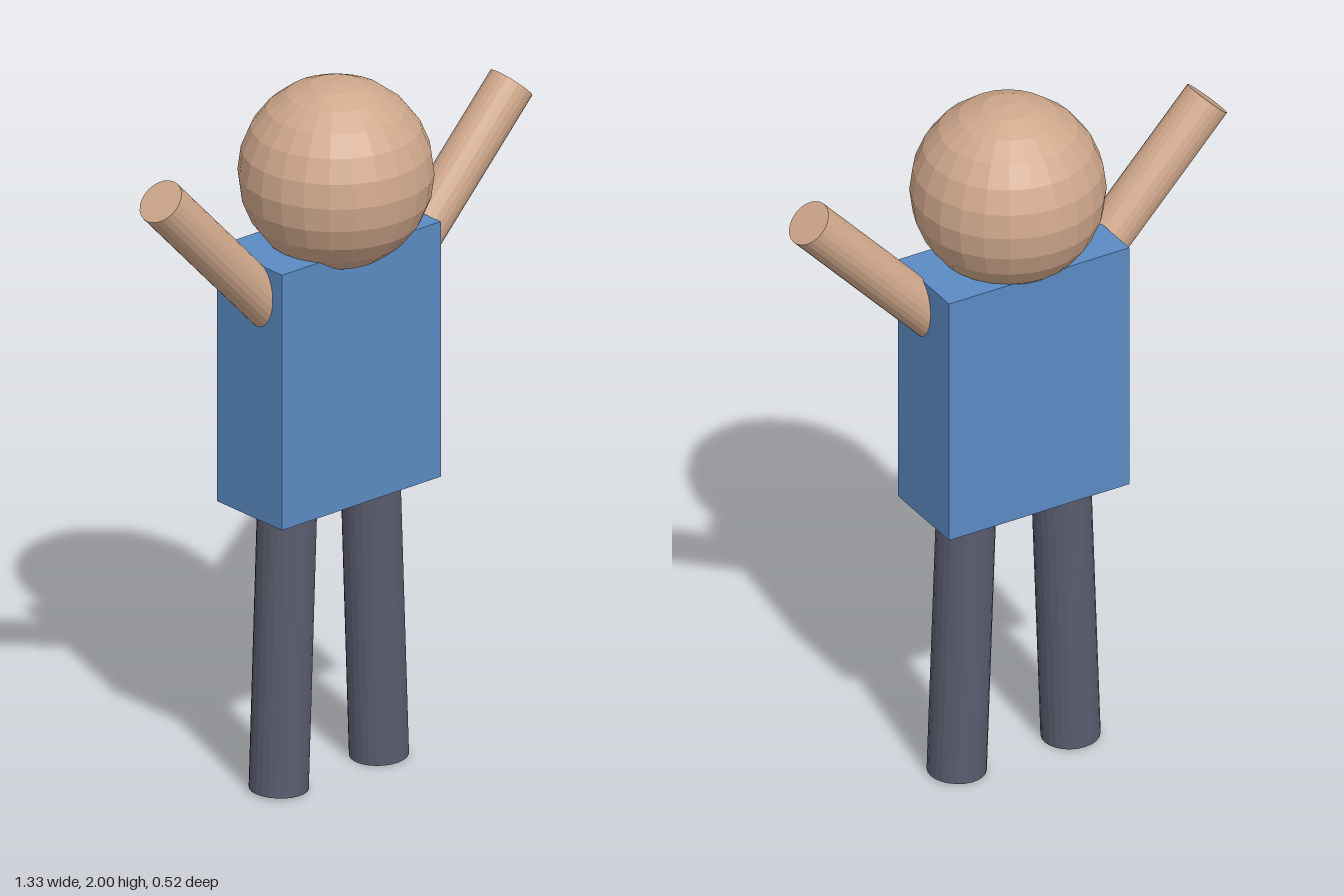
import * as THREE from 'three';

const material = (name, color) => {
  const m = new THREE.MeshStandardMaterial({ color, flatShading: true });
  m.name = name;
  return m;
};

// A straight capped limb between two points
function limb(name, from, to, radius, mat) {
  const a = new THREE.Vector3(...from), b = new THREE.Vector3(...to);
  const dir = b.clone().sub(a);
  const mesh = new THREE.Mesh(new THREE.CylinderGeometry(radius, radius, dir.length(), 24), mat);
  mesh.name = name;
  mesh.position.copy(a).add(b).multiplyScalar(0.5);
  mesh.quaternion.setFromUnitVectors(new THREE.Vector3(0, 1, 0), dir.normalize());
  return mesh;
}

export function createModel() {
  const skin = material('skin', 0xd0a88c);
  const shirt = material('shirt blue', 0x5b8bc3);
  const trousers = material('trouser grey', 0x5a5c6e);

  const figure = new THREE.Group();
  figure.name = 'figure';

  // Faceted round head, sunk slightly into the torso
  const head = new THREE.Mesh(new THREE.SphereGeometry(0.262, 24, 12), skin);
  head.name = 'head';
  head.position.y = 1.738;

  // Box torso, set a little back
  const torso = new THREE.Mesh(new THREE.BoxGeometry(0.557, 0.735, 0.264), shirt);
  torso.name = 'torso';
  torso.position.set(0, 1.182, -0.029);
  figure.add(head, torso);

  // Raised arms and slightly splayed legs
  for (const [side, s] of [['left', 1], ['right', -1]]) {
    figure.add(
      limb(`${side}Arm`, [s * 0.2, 1.381, 0], [s * 0.616, 1.823, 0], 0.065, skin),
      limb(`${side}Leg`, [s * 0.176, 0.003, -0.029], [s * 0.145, 0.85, -0.029], 0.08, trousers),
    );
  }
  return figure;
}
